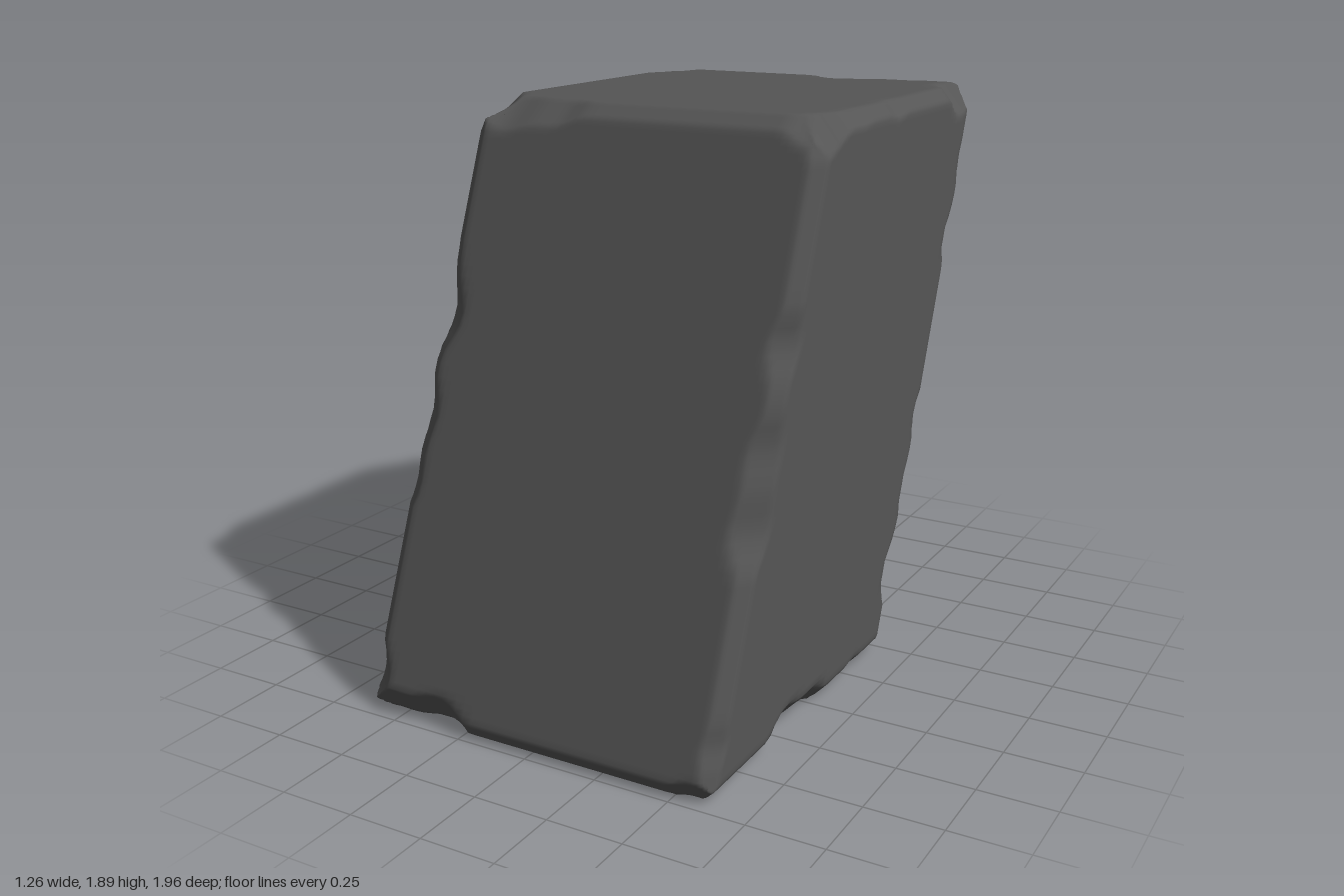
import * as THREE from 'three';
import { mergeVertices } from 'three/addons/utils/BufferGeometryUtils.js';

const HALF = [0.63, 0.943, 0.632]; // half width, height, depth before leaning
const LEAN = 0.37;                 // sideways shift of each end along z

// Uneven wear along an edge: mostly shallow with some deeper chips
function wear(t, seed) {
  const n = Math.sin(t * 5.1 + seed * 2.3) + 0.7 * Math.sin(t * 11.3 + seed * 4.1)
    + 0.45 * Math.sin(t * 23 + seed * 1.7);
  return 0.045 + 0.035 * Math.max(0, n);
}

// Cut the edge between axes a and b with a bevel of varying depth
function bevel(p, a, b) {
  const c = 3 - a - b;
  const sa = Math.sign(p[a]), sb = Math.sign(p[b]);
  if (c === 1 && p[0] < 0 && p[2] < 0) return; // this edge has the groove
  const seed = c * 7 + (sa + 1) * 1.5 + (sb + 1) * 0.8;
  const over = Math.abs(p[a]) + Math.abs(p[b]) - (HALF[a] + HALF[b] - wear(p[c], seed));
  if (over > 0) {
    p[a] -= sa * over / 2;
    p[b] -= sb * over / 2;
  }
}

function blockGeometry() {
  let geo = new THREE.BoxGeometry(2, 2, 2, 48, 64, 48);
  geo.deleteAttribute('uv');
  geo.deleteAttribute('normal');
  geo = mergeVertices(geo, 1e-4);
  const pos = geo.attributes.position;
  for (let i = 0; i < pos.count; i++) {
    // Crowd the grid towards the edges
    const p = [pos.getX(i), pos.getY(i), pos.getZ(i)]
      .map((v, k) => HALF[k] * (0.35 * v + 0.65 * Math.sin(v * Math.PI / 2)));

    // Stepped groove down one rear edge
    const step = THREE.MathUtils.smoothstep(-p[0], 0.465, 0.5);
    const depth = 0.1 + 0.035 * p[1] / HALF[1];
    p[2] = Math.max(p[2], -HALF[2] + depth * step);

    // Worn edges
    bevel(p, 0, 1);
    bevel(p, 1, 2);
    bevel(p, 0, 2);

    // Lean the block backwards
    pos.setXYZ(i, p[0], p[1] + HALF[1], p[2] - LEAN * p[1] / HALF[1]);
  }
  geo.computeVertexNormals();
  return geo;
}

export function createModel() {
  const stone = new THREE.MeshStandardMaterial({ color: 0x555555 });
  stone.name = 'dark grey stone';
  const block = new THREE.Mesh(blockGeometry(), stone);
  block.name = 'leaningStoneBlock';
  const model = new THREE.Group();
  model.name = 'stone';
  model.add(block);
  return model;
}
